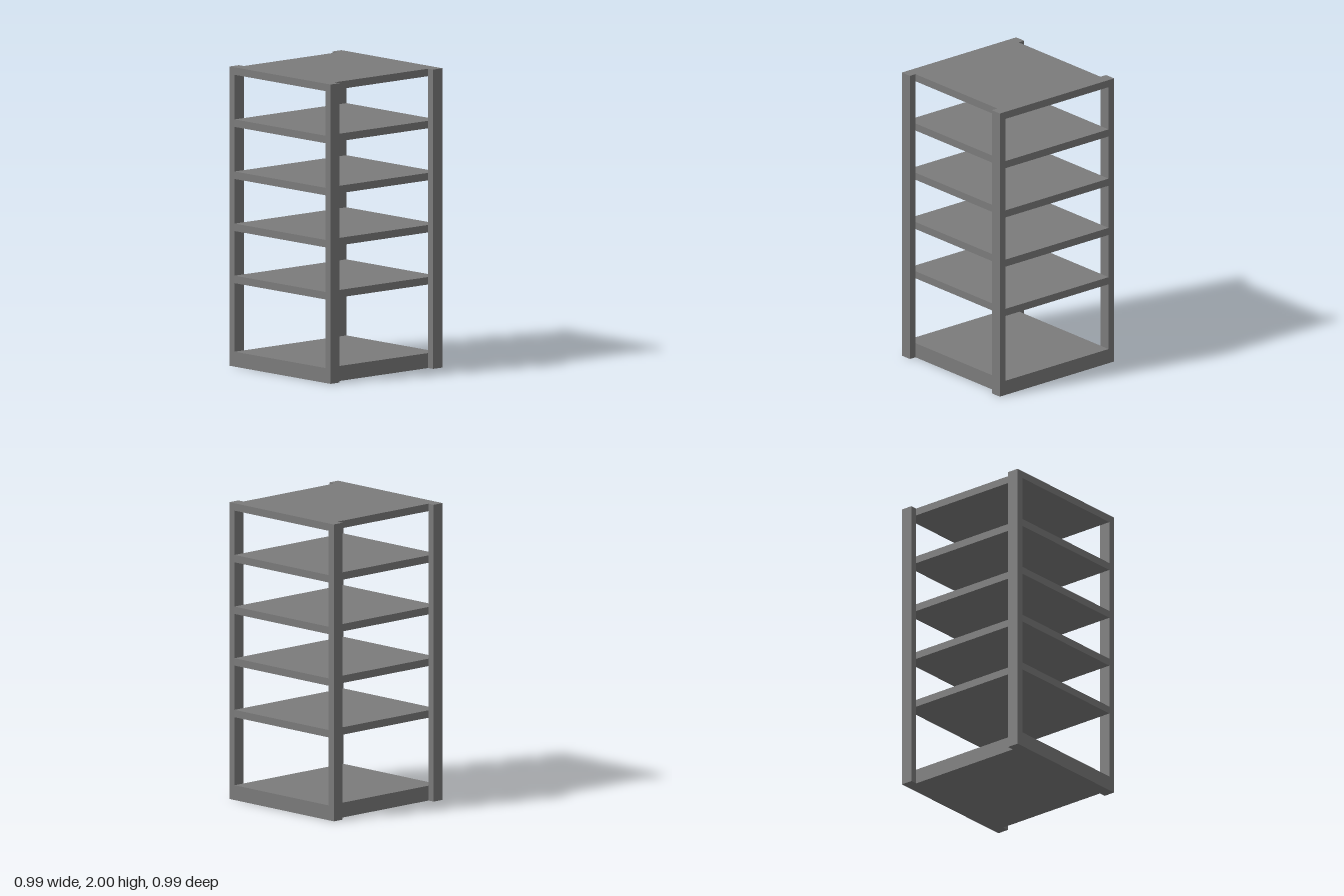
import * as THREE from 'three';

const HALF = 0.4965;      // half width and half depth of the rack
const SHELF_X = 0.448;    // half width of the shelves, where the posts begin
const POST_Z = 0.415;     // inner face of the posts
const HEIGHT = 2;

export function createModel() {
  const group = new THREE.Group();
  const material = new THREE.MeshStandardMaterial({ color: 0x7b7b7b });

  // Adds a box spanning two opposite corners
  const addBox = (name, [x0, y0, z0], [x1, y1, z1]) => {
    const mesh = new THREE.Mesh(new THREE.BoxGeometry(x1 - x0, y1 - y0, z1 - z0), material);
    mesh.position.set((x0 + x1) / 2, (y0 + y1) / 2, (z0 + z1) / 2);
    mesh.name = name;
    group.add(mesh);
  };

  // Corner posts, outside the ends of the shelves
  for (const [side, x] of [['Left', SHELF_X], ['Right', -HALF]]) {
    for (const [end, z] of [['front', POST_Z], ['back', -HALF]]) {
      addBox(`${end}${side}Post`, [x, 0, z], [x + HALF - SHELF_X, HEIGHT, z + HALF - POST_Z]);
    }
  }

  // Thick base
  addBox('base', [-SHELF_X, 0, -HALF], [SHELF_X, 0.1, HALF]);

  // Evenly spaced shelves, the highest forming the top
  const thickness = 0.05, spacing = 0.348;
  for (let i = 0; i < 5; i++) {
    const top = HEIGHT - i * spacing;
    addBox(i === 0 ? 'topPanel' : `shelf${5 - i}`, [-SHELF_X, top - thickness, -HALF], [SHELF_X, top, HALF]);
  }

  return group;
}
